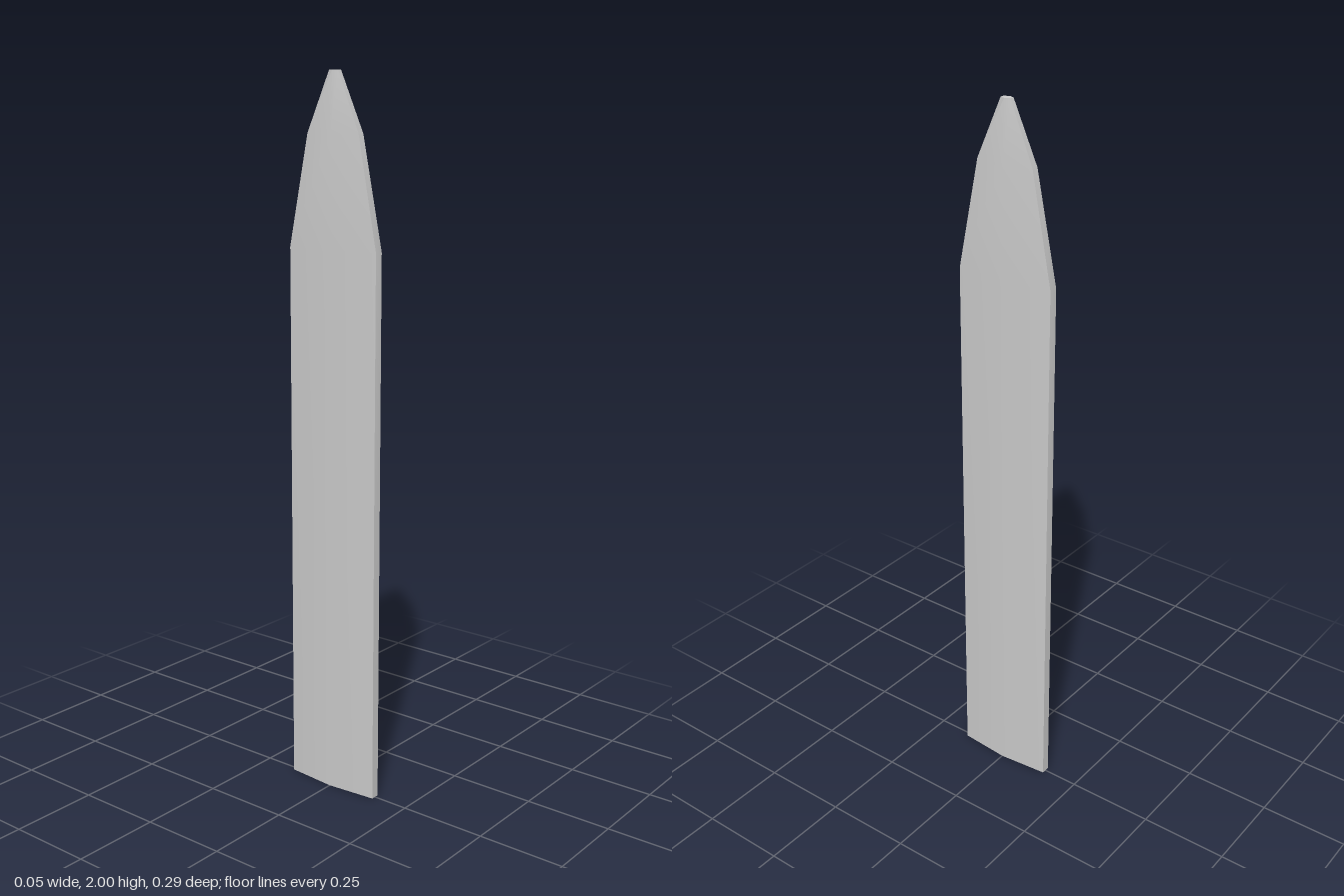
import * as THREE from 'three';
import { toCreasedNormals } from 'three/addons/utils/BufferGeometryUtils.js';

// Hexagonal cross-section: a ridge on each broad side, flat narrow edges
function section([y, halfDepth, ridge, edge]) {
  return [
    [ridge, 0], [edge, -halfDepth], [-edge, -halfDepth],
    [-ridge, 0], [-edge, halfDepth], [edge, halfDepth],
  ].map(([x, z]) => [x, y, z]);
}

// Skin a stack of sections, with a cap at each end
function loft(sections) {
  const positions = [];
  const tri = (a, b, c) => positions.push(...a, ...b, ...c);
  const n = sections[0].length;
  for (let s = 0; s < sections.length - 1; s++) {
    const lower = sections[s], upper = sections[s + 1];
    for (let i = 0; i < n; i++) {
      const j = (i + 1) % n;
      tri(lower[i], lower[j], upper[j]);
      tri(lower[i], upper[j], upper[i]);
    }
  }
  const bottom = sections[0], top = sections[sections.length - 1];
  for (let i = 1; i < n - 1; i++) {
    tri(bottom[0], bottom[i + 1], bottom[i]);
    tri(top[0], top[i], top[i + 1]);
  }
  const geometry = new THREE.BufferGeometry();
  geometry.setAttribute('position', new THREE.Float32BufferAttribute(positions, 3));
  return toCreasedNormals(geometry, 0.5);
}

export function createModel() {
  const group = new THREE.Group();
  group.name = 'bladeModel';

  // Straight body, then a two-stage taper to a small blunt tip
  const profile = [ // height, half depth, ridge half width, edge half width
    [0, 0.145, 0.025, 0.0125],
    [1.54, 0.145, 0.025, 0.0125],
    [1.84, 0.085, 0.02, 0.01],
    [2, 0.015, 0.012, 0.006],
  ];
  const blade = new THREE.Mesh(
    loft(profile.map(section)),
    new THREE.MeshStandardMaterial({ color: 0xcccccc })
  );
  blade.name = 'blade';
  group.add(blade);
  return group;
}
